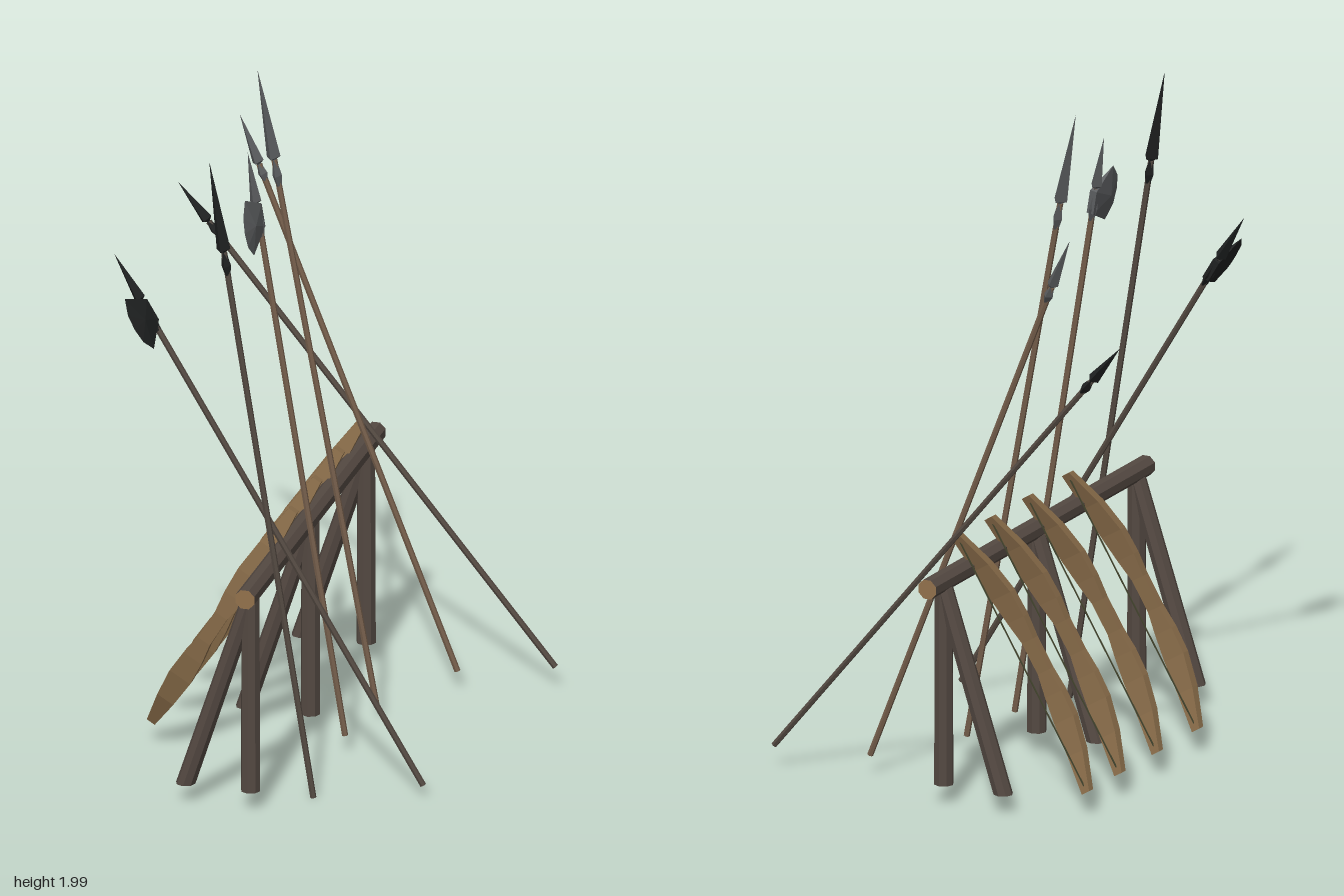
import * as THREE from 'three';
import { ConvexGeometry } from 'three/addons/geometries/ConvexGeometry.js';

const mat = (color) => new THREE.MeshStandardMaterial({ color, flatShading: true });
const timber = mat(0x544942), endGrain = mat(0x92714c), bowWood = mat(0x866a48);
const paleShaft = mat(0x765f4c), darkShaft = mat(0x544a42);
const steel = mat(0x5c5e60), iron = mat(0x1f2121), cord = mat(0x40422c);

function add(parent, name, geometry, material) {
  const mesh = new THREE.Mesh(geometry, material);
  mesh.name = name;
  parent.add(mesh);
  return mesh;
}

// Group whose local y runs from (x0,y0) to (x1,y1) at depth z
function leaningGroup(name, x0, y0, x1, y1, z) {
  const g = new THREE.Group();
  g.name = name;
  g.position.set(x0, y0, z);
  g.rotation.z = Math.atan2(x0 - x1, y1 - y0);
  return g;
}

// Post with level ends, sheared sideways by lean at its foot
function post(lean) {
  const h = 0.6;
  const geo = new THREE.CylinderGeometry(0.027, 0.029, h, 8);
  const shear = new THREE.Matrix4().makeShear(0, 0, lean / h, 0, 0, 0);
  const p = geo.attributes.position;
  geo.translate(0, -h / 2, 0);
  for (let i = 0; i < p.count; i++) p.setX(i, p.getX(i) - (p.getY(i) / h) * lean);
  return geo.translate(-0.02, 0.66, 0);
}

// Four-cornered loft through [y, z, halfWidth, halfDepth] sections
function loft(sections) {
  const pos = [], idx = [], n = sections.length;
  for (const [y, z, w, d] of sections) {
    pos.push(-w, y, z - d, -w, y, z + d, w, y, z + d, w, y, z - d);
  }
  for (let i = 0; i < n - 1; i++) {
    for (let j = 0; j < 4; j++) {
      const a = i * 4 + j, b = i * 4 + (j + 1) % 4;
      idx.push(a, b, b + 4, a, b + 4, a + 4);
    }
  }
  const t = (n - 1) * 4;
  idx.push(0, 2, 1, 0, 3, 2, t, t + 1, t + 2, t, t + 2, t + 3);
  const geo = new THREE.BufferGeometry();
  geo.setAttribute('position', new THREE.Float32BufferAttribute(pos, 3));
  geo.setIndex(idx);
  geo.computeVertexNormals();
  return geo;
}

// Pointed blade above a small flared collar; origin at the tip
function headGeometry(blade, collar, r) {
  const profile = [
    [0, -blade - collar], [0.013, -blade - collar], [0.022, -blade - collar * 0.65],
    [0.01, -blade - 0.008], [r, -blade], [0, 0],
  ].map(([x, y]) => new THREE.Vector2(x, y));
  return new THREE.LatheGeometry(profile, 4).scale(0.65, 1, 1);
}

// Fan-shaped axe blade, thick in the middle and sharp at the rim
function axeGeometry() {
  const pts = [];
  for (const s of [-1, 1]) {
    for (const [y, z] of [[0.085, 0.09], [0.045, 0.128], [0, 0.137]]) {
      pts.push(new THREE.Vector3(0, s * y, z));
    }
    for (const x of [-0.011, 0.011]) pts.push(new THREE.Vector3(x, s * 0.035, -0.015));
    pts.push(new THREE.Vector3(s * 0.016, 0, 0.075));
  }
  return new ConvexGeometry(pts);
}

function spear({ z, foot, tip, blade, collar, r, dark, axe }) {
  const g = leaningGroup(axe ? 'poleaxe' : 'spear', ...foot, ...tip, z);
  const length = Math.hypot(tip[0] - foot[0], tip[1] - foot[1]);
  const shaft = length - blade - 0.01;
  const metal = dark ? iron : steel;
  add(g, 'shaft', new THREE.CylinderGeometry(0.009, 0.009, shaft, 6).translate(0, shaft / 2, 0),
    dark ? darkShaft : paleShaft);
  add(g, 'spearhead', headGeometry(blade, collar, r), metal).position.y = length;
  if (axe) add(g, 'axeBlade', axeGeometry(), metal).position.y = length - 0.2;
  return g;
}

function bow(z) {
  const g = leaningGroup('bow', -0.435, 0.07, -0.008, 0.78, z);
  const half = 0.414;
  const side = [
    [0.05, 0.094, 0.021, 0.014], [0.12, 0.088, 0.031, 0.014], [0.2, 0.076, 0.036, 0.014],
    [0.3, 0.05, 0.028, 0.015], [half, 0.002, 0.014, 0.012],
  ];
  const lower = side.map(([y, ...rest]) => [-y, ...rest]).reverse();
  add(g, 'bowLimbs', loft([...lower, ...side]), bowWood).position.y = half;
  add(g, 'bowString', new THREE.CylinderGeometry(0.0025, 0.0025, half * 2 - 0.01, 5), cord).position.y = half;
  return g;
}

export function createModel() {
  const model = new THREE.Group();
  model.name = 'weaponRack';

  // Rack: beam with pale sawn ends, upright and raked posts
  const beam = add(model, 'beam', new THREE.CylinderGeometry(0.031, 0.031, 1.32, 8)
    .rotateY(Math.PI / 8).rotateX(Math.PI / 2), [timber, endGrain, endGrain]);
  beam.position.set(-0.02, 0.677, 0);
  for (const z of [0.602, 0, -0.56]) {
    add(model, 'uprightPost', post(0), timber).position.z = z;
    add(model, 'rakedPost', post(-0.195), timber).position.z = z;
  }

  // Bows leaning against one side
  for (const z of [0.205, -0.037, -0.262, -0.458]) model.add(bow(z));

  // Spears and poleaxes leaning from the other side
  const spears = [
    { z: 0.472, foot: [0.13, 0.003], tip: [-0.183, 1.95], blade: 0.27, collar: 0.08, r: 0.032, dark: true },
    { z: 0.37, foot: [0.43, 0.036], tip: [-0.5, 1.585], blade: 0.15, collar: 0.11, r: 0.027, dark: true, axe: true },
    { z: 0.13, foot: [0.123, 0.06], tip: [-0.17, 1.845], blade: 0.15, collar: 0.11, r: 0.026, axe: true },
    { z: -0.128, foot: [0.14, 0.057], tip: [-0.218, 1.995], blade: 0.27, collar: 0.09, r: 0.032 },
    { z: -0.425, foot: [0.295, 0.06], tip: [-0.36, 1.72], blade: 0.15, collar: 0.06, r: 0.027 },
    { z: -0.508, foot: [0.565, 0.072], tip: [-0.57, 1.45], blade: 0.135, collar: 0.06, r: 0.027, dark: true },
  ];
  for (const s of spears) model.add(spear(s));

  return model;
}
